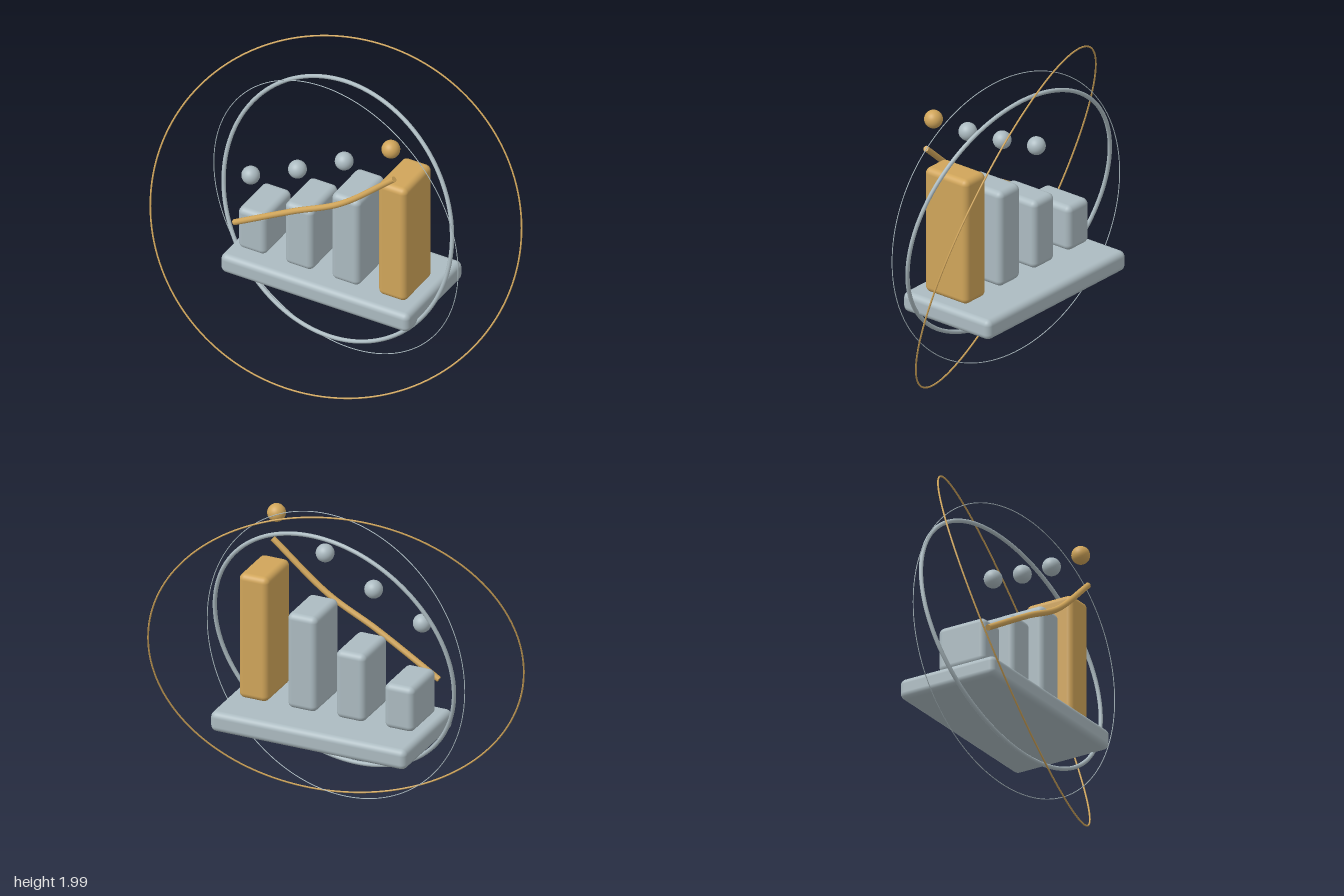
import * as THREE from 'three';
import { RoundedBoxGeometry } from 'three/addons/geometries/RoundedBoxGeometry.js';

export function createModel() {
  const model = new THREE.Group();
  const silver = new THREE.MeshStandardMaterial({ color: 0xacbbc1 });
  silver.name = 'silver';
  const gold = new THREE.MeshStandardMaterial({ color: 0xd0a55a });
  gold.name = 'gold';

  const add = (name, geometry, material, x = 0, y = 0, z = 0) => {
    const mesh = new THREE.Mesh(geometry, material);
    mesh.name = name;
    mesh.position.set(x, y, z);
    model.add(mesh);
    return mesh;
  };

  // Rounded base slab
  add('base', new RoundedBoxGeometry(1.19, 0.12, 0.62, 4, 0.035), silver, 0, 0.63, -0.06);

  // Rising bars, each with a ball floating above; the tallest is gold
  const bottom = 0.695;
  const tops = [0.965, 1.105, 1.27, 1.45];
  const ballHeights = [1.22, 1.365, 1.525, 1.71];
  tops.forEach((top, i) => {
    const x = -0.45 + i * 0.295;
    const material = i === 3 ? gold : silver;
    const height = top - bottom;
    add('bar' + (i + 1), new RoundedBoxGeometry(0.18, height, 0.305, 4, 0.035), material, x, bottom + height / 2, 0);
    add('ball' + (i + 1), new THREE.SphereGeometry(0.052, 32, 20), material, x, ballHeights[i], 0.155);
  });

  // Trend line in front of the bars, with closed ends
  const curve = new THREE.CatmullRomCurve3([
    new THREE.Vector3(-0.54, 0.885, 0.18),
    new THREE.Vector3(-0.155, 1.105, 0.192),
    new THREE.Vector3(0.14, 1.26, 0.192),
    new THREE.Vector3(0.47, 1.535, 0.18),
  ]);
  add('trendLine', new THREE.TubeGeometry(curve, 48, 0.017, 12), gold);
  for (const t of [0, 1]) {
    const p = curve.getPoint(t);
    const outward = curve.getTangent(t).multiplyScalar(t ? 1 : -1);
    const cap = add('trendLineEnd', new THREE.CircleGeometry(0.017, 12), gold, p.x, p.y, p.z);
    cap.quaternion.setFromUnitVectors(new THREE.Vector3(0, 0, 1), outward);
  }

  // Tilted orbit rings, each given by its axis direction
  const ring = (name, radius, tube, material, axis, y, z) => {
    const mesh = add(name, new THREE.TorusGeometry(radius, tube, 10, 160), material, 0, y, z);
    mesh.quaternion.setFromUnitVectors(new THREE.Vector3(0, 0, 1), new THREE.Vector3(...axis).normalize());
  };
  ring('outerRing', 1.04, 0.005, gold, [0.284, 0.31, 0.907], 1, 0);
  ring('middleRing', 0.846, 0.0025, silver, [-0.138, 0, 0.99], 1, 0);
  ring('innerRing', 0.762, 0.012, silver, [-0.1, 0.21, 0.97], 1.043, -0.02);

  return model;
}
